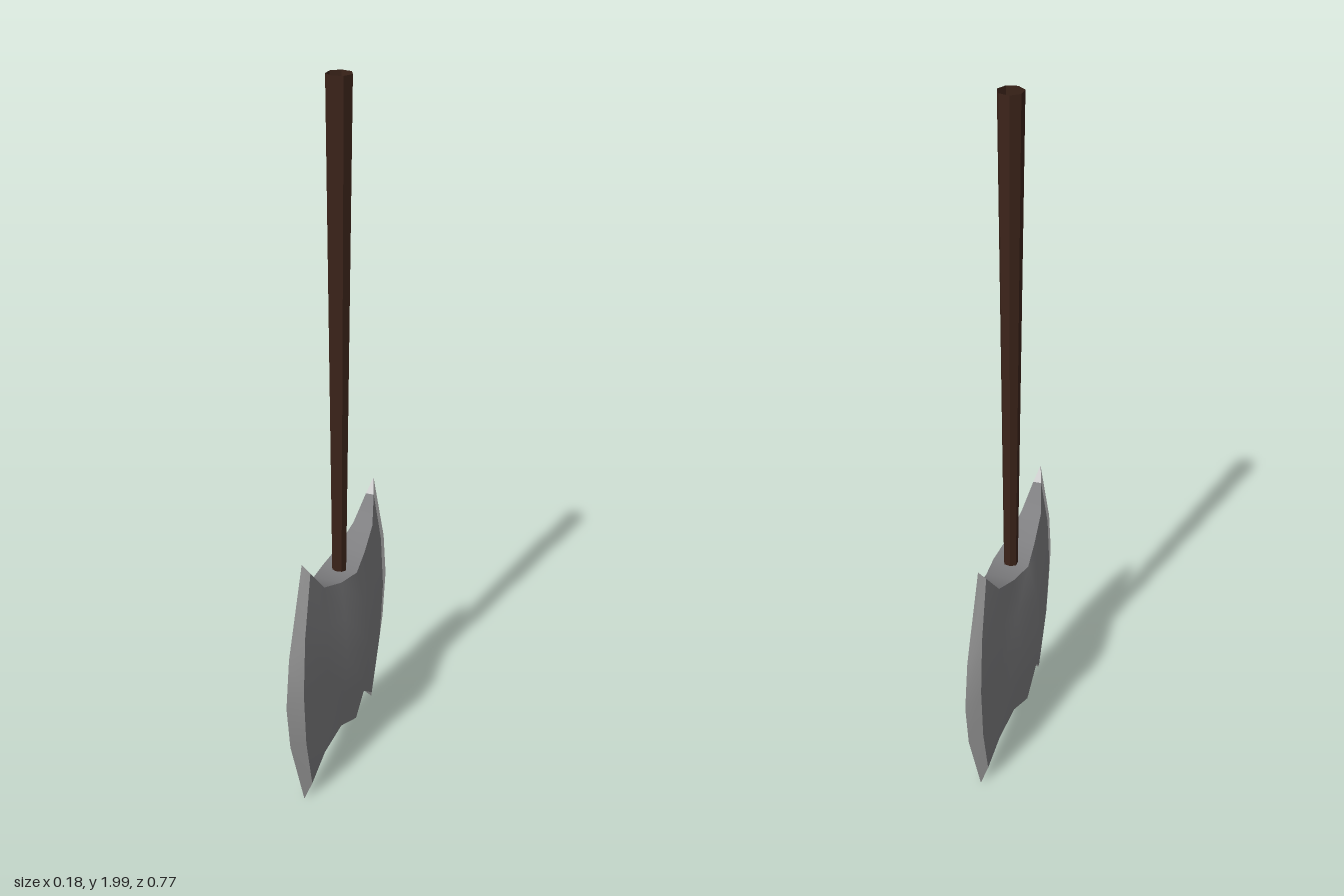
import * as THREE from 'three';
import { toCreasedNormals } from 'three/addons/utils/BufferGeometryUtils.js';

// Head cross-sections from the centre to the cutting edge, rows run bottom to top:
// z = distance from the centre, y = height, t = half thickness
const SECTIONS = [
  { z: [0, 0, 0, 0, 0], y: [0.12, 0.25, 0.39, 0.52, 0.61], t: [0.052, 0.077, 0.088, 0.077, 0.052] },
  { z: [0.09, 0.09, 0.09, 0.09, 0.09], y: [0.15, 0.265, 0.39, 0.515, 0.625], t: [0.041, 0.053, 0.059, 0.053, 0.041] },
  { z: [0.185, 0.185, 0.185, 0.185, 0.185], y: [0.12, 0.25, 0.39, 0.53, 0.66], t: [0.029, 0.037, 0.04, 0.037, 0.029] },
  { z: [0.24, 0.292, 0.31, 0.292, 0.24], y: [0.045, 0.22, 0.39, 0.56, 0.73], t: [0.012, 0.017, 0.019, 0.017, 0.012] },
  { z: [0.27, 0.363, 0.385, 0.363, 0.27], y: [0.01, 0.25, 0.39, 0.53, 0.77], t: [0, 0, 0, 0, 0] },
];

// Point on the head: column -4..4 (back to front), row 0..4, side -1 or 1
function headPoint(col, row, side) {
  const s = SECTIONS[Math.abs(col)];
  return [side * s.t[row], s.y[row], Math.sign(col) * s.z[row]];
}

// Surface through a grid of points
function gridGeometry(columns, flip) {
  const n = columns[0].length;
  const index = [];
  for (let i = 0; i < columns.length - 1; i++) {
    for (let j = 0; j < n - 1; j++) {
      const a = i * n + j, b = a + 1, c = a + n + 1, d = a + n;
      if (flip) index.push(a, c, b, a, d, c);
      else index.push(a, b, c, a, c, d);
    }
  }
  const geo = new THREE.BufferGeometry();
  geo.setAttribute('position', new THREE.Float32BufferAttribute(columns.flat(2), 3));
  geo.setIndex(index);
  geo.computeVertexNormals();
  return geo;
}

function range(from, to) {
  return Array.from({ length: to - from + 1 }, (_, i) => from + i);
}

export function createModel() {
  const steel = new THREE.MeshStandardMaterial({ color: 0x7f7f81 });
  steel.name = 'dark steel';
  const sharpSteel = new THREE.MeshStandardMaterial({ color: 0xcdcdcd });
  sharpSteel.name = 'sharpened steel';
  const wood = new THREE.MeshStandardMaterial({ color: 0x3c241a, flatShading: true, side: THREE.DoubleSide });
  wood.name = 'dark wood';

  const model = new THREE.Group();
  model.name = 'doubleAxe';
  const add = (parent, name, geo, mat) => {
    const mesh = new THREE.Mesh(geo, mat);
    mesh.name = name;
    parent.add(mesh);
    return mesh;
  };

  // Handle: hollow seven-sided shaft, tapering toward the head
  const shaft = new THREE.CylinderGeometry(0.035, 0.02, 1.4, 7, 1, true);
  shaft.rotateY(Math.PI / 2);
  add(model, 'handle', shaft, wood).position.y = 1.3;

  // Head: dark centre and two bright cutting edges
  const head = new THREE.Group();
  head.name = 'axeHead';
  model.add(head);
  const pieces = [
    ['blade', -3, 3, steel],
    ['frontEdge', 3, 4, sharpSteel],
    ['backEdge', -4, -3, sharpSteel],
  ];
  for (const [name, from, to, mat] of pieces) {
    const cols = range(from, to);
    // Left and right faces
    for (const side of [1, -1]) {
      const points = cols.map((c) => range(0, 4).map((r) => headPoint(c, r, side)));
      add(head, name + (side > 0 ? 'Left' : 'Right'), gridGeometry(points, side < 0), mat);
    }
    // Top and bottom rims
    for (const row of [0, 4]) {
      const points = cols.map((c) => [headPoint(c, row, -1), headPoint(c, row, 1)]);
      const geo = toCreasedNormals(gridGeometry(points, row === 4), row === 4 ? 0.6 : 0.3);
      add(head, name + (row ? 'Top' : 'Bottom'), geo, mat);
    }
  }
  return model;
}
